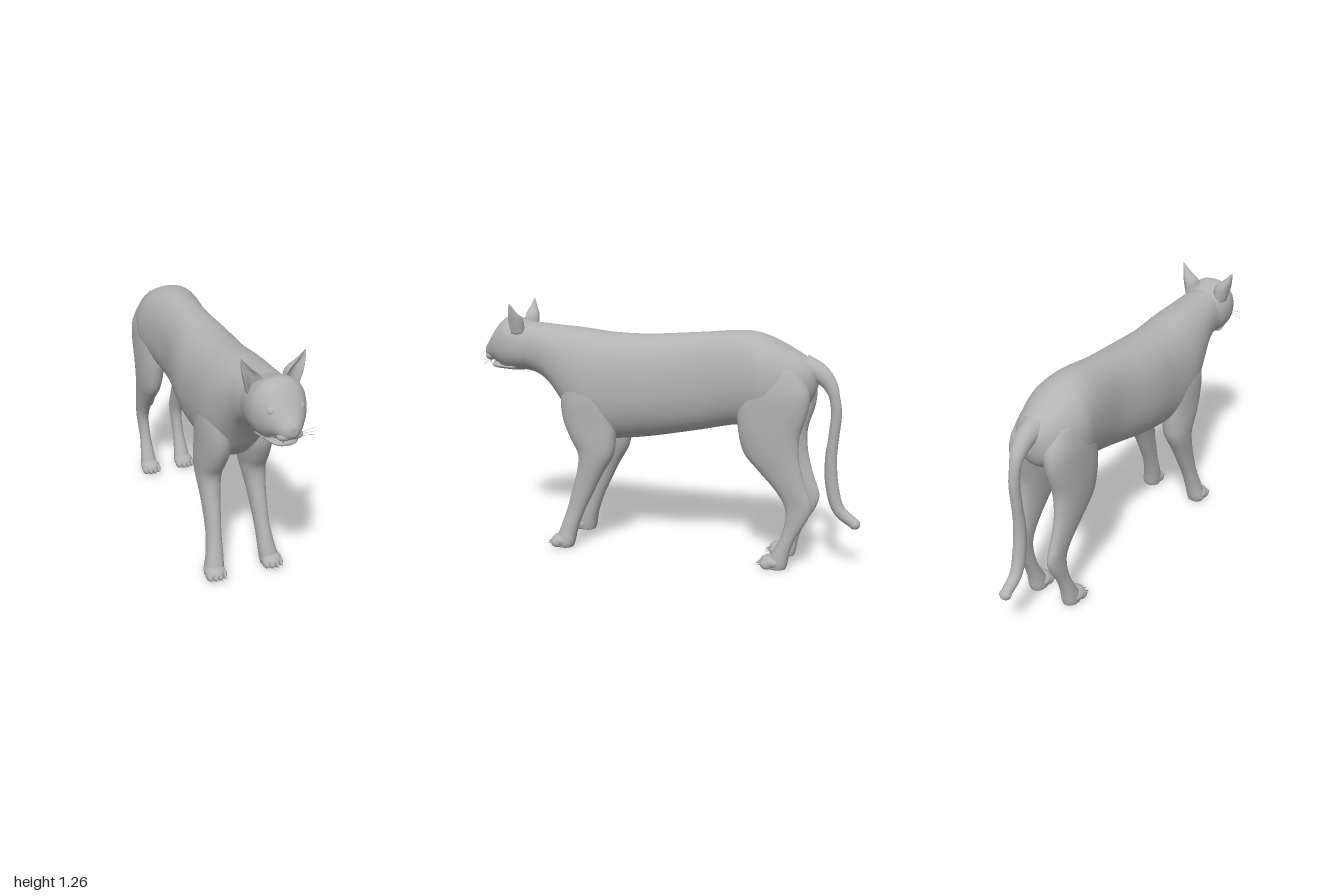
import * as THREE from 'three';

const coat = new THREE.MeshStandardMaterial({ color: 0xb2b2b2 });
coat.name = 'greyCoat';

function add(parent, name, geometry, pos = [0, 0, 0], scale = [1, 1, 1]) {
  const m = new THREE.Mesh(geometry, coat);
  m.name = name;
  m.position.set(...pos);
  m.scale.set(...scale);
  parent.add(m);
  return m;
}

// Smooth skin through sections [t, aMin, aMax, bMin, bMax].
// axis 'z': t = z rising, ring in x/y. axis 'y': t = y falling, ring in x/z.
function loft(sections, axis, { n = 28, steps = 4, power = 2.2, dent = 0 } = {}) {
  const pos = [], idx = [], last = sections.length - 1, rings = last * steps + 1;
  const put = (t, a, b) => (axis === 'z' ? pos.push(a, b, t) : pos.push(a, t, b));
  const at = (i) => sections[Math.min(last, Math.max(0, i))];
  const squash = (v) => Math.sign(v) * Math.abs(v) ** (2 / power);
  const ends = [];
  for (let r = 0; r < rings; r++) {
    const i = Math.min(last - 1, Math.floor(r / steps)), f = r / steps - i;
    const [t, a0, a1, b0, b1] = at(i).map((p1, k) => {
      const p0 = at(i - 1)[k], p2 = at(i + 1)[k], p3 = at(i + 2)[k];
      return p1 + 0.5 * f * (p2 - p0 + f * (2 * p0 - 5 * p1 + 4 * p2 - p3 + f * (3 * (p1 - p2) + p3 - p0)));
    });
    const ca = (a0 + a1) / 2, cb = (b0 + b1) / 2;
    for (let j = 0; j < n; j++) {
      const w = (j / n) * Math.PI * 2;
      const s = squash(Math.sin(w));
      put(t, ca + ((a1 - a0) / 2) * squash(Math.cos(w)), cb + ((b1 - b0) / 2) * (s > 0 ? s * (1 - dent * s) : s));
    }
    if (r === 0 || r === rings - 1) ends.push([t, ca, cb]);
  }
  for (let r = 0; r < rings - 1; r++) {
    for (let j = 0; j < n; j++) {
      const a = r * n + j, b = r * n + ((j + 1) % n);
      idx.push(a, b, a + n, b, b + n, a + n);
    }
  }
  ends.forEach((e) => put(...e));
  for (let j = 0; j < n; j++) {
    const k = (j + 1) % n, o = (rings - 1) * n;
    idx.push(rings * n, k, j, rings * n + 1, o + j, o + k);
  }
  const g = new THREE.BufferGeometry();
  g.setAttribute('position', new THREE.Float32BufferAttribute(pos, 3));
  g.setIndex(idx);
  g.computeVertexNormals();
  return g;
}

// Left-right symmetric sections: [z, halfWidth, bottom, top]
const sym = (rows) => rows.map(([z, w, b, t]) => [z, -w, w, b, t]);
// Move a left-side section to the chosen side
const sided = (rows, s) => rows.map(([y, a, b, c, d]) => (s > 0 ? [y, a, b, c, d] : [y, -b, -a, c, d]));

// Thin tapered rod between two points
function rod(parent, name, from, to, r0, r1, sides = 8) {
  const a = new THREE.Vector3(...from), d = new THREE.Vector3(...to).sub(a);
  const m = add(parent, name, new THREE.CylinderGeometry(r1, r0, d.length(), sides));
  m.position.copy(a).addScaledVector(d, 0.5);
  m.quaternion.setFromUnitVectors(new THREE.Vector3(0, 1, 0), d.normalize());
}

const ball = new THREE.SphereGeometry(1, 24, 16);

const BODY = [
  [-0.768, 0.03, 0.90, 0.99], [-0.74, 0.08, 0.83, 1.025], [-0.68, 0.125, 0.78, 1.065],
  [-0.55, 0.168, 0.72, 1.13], [-0.45, 0.16, 0.70, 1.158], [-0.35, 0.148, 0.69, 1.158],
  [-0.2, 0.14, 0.655, 1.143], [0, 0.168, 0.613, 1.125], [0.1, 0.176, 0.595, 1.118],
  [0.2, 0.174, 0.58, 1.117], [0.3, 0.178, 0.572, 1.12], [0.4, 0.178, 0.59, 1.13],
  [0.48, 0.165, 0.66, 1.137], [0.55, 0.148, 0.76, 1.14], [0.62, 0.13, 0.845, 1.145],
  [0.7, 0.118, 0.892, 1.15], [0.8, 0.11, 0.905, 1.15],
];
const HEAD = [
  [0.68, 0.11, 0.91, 1.135], [0.78, 0.128, 0.90, 1.165], [0.84, 0.128, 0.90, 1.18],
  [0.88, 0.115, 0.908, 1.162], [0.91, 0.1, 0.928, 1.13], [0.94, 0.078, 0.942, 1.09],
  [0.965, 0.058, 0.948, 1.055], [0.985, 0.04, 0.955, 1.03], [0.998, 0.018, 0.975, 1.01],
];
const JAW = [
  [0.8, 0.09, 0.90, 0.94], [0.9, 0.068, 0.902, 0.938], [0.94, 0.05, 0.906, 0.932], [0.96, 0.022, 0.914, 0.928],
];
const EAR = [
  [1.258, 0.146, 0.15, 0.782, 0.788], [1.215, 0.104, 0.147, 0.762, 0.812],
  [1.17, 0.056, 0.138, 0.738, 0.84], [1.1, 0.05, 0.12, 0.735, 0.83],
];
const FRONT_LEG = [
  [0.95, 0.06, 0.16, 0.29, 0.48], [0.8, 0.04, 0.18, 0.24, 0.52], [0.68, 0.03, 0.18, 0.23, 0.515],
  [0.58, 0.04, 0.18, 0.232, 0.472], [0.5, 0.055, 0.176, 0.245, 0.43], [0.4, 0.072, 0.168, 0.302, 0.44],
  [0.3, 0.083, 0.163, 0.352, 0.468], [0.2, 0.092, 0.165, 0.4, 0.495], [0.1, 0.095, 0.18, 0.435, 0.53],
  [0.03, 0.1, 0.197, 0.45, 0.55], [0.004, 0.105, 0.19, 0.46, 0.545],
];
const HIND_LEG = [
  [1.0, 0.04, 0.14, -0.68, -0.46], [0.9, 0.025, 0.165, -0.745, -0.42], [0.8, 0.03, 0.17, -0.745, -0.4],
  [0.68, 0.04, 0.168, -0.71, -0.41], [0.58, 0.055, 0.16, -0.71, -0.44], [0.5, 0.065, 0.15, -0.725, -0.51],
  [0.42, 0.07, 0.14, -0.75, -0.585], [0.34, 0.072, 0.132, -0.778, -0.64], [0.27, 0.072, 0.13, -0.762, -0.652],
  [0.18, 0.07, 0.13, -0.71, -0.635], [0.1, 0.065, 0.138, -0.68, -0.6],
  [0.03, 0.058, 0.145, -0.668, -0.56], [0.004, 0.062, 0.14, -0.66, -0.56],
];

// Rounded paw with four toes and claws
function paw(parent, name, x, z) {
  const g = new THREE.Group();
  g.name = name;
  g.position.set(x, 0, z);
  parent.add(g);
  add(g, 'pad', ball, [0, 0.036, 0], [0.052, 0.035, 0.06]);
  [-0.036, -0.012, 0.012, 0.036].forEach((dx) => {
    const dz = 0.05 - Math.abs(dx) * 0.4;
    add(g, 'toe', ball, [dx, 0.026, dz - 0.012], [0.016, 0.024, 0.03]);
    rod(g, 'claw', [dx, 0.035, dz + 0.006], [dx, 0.018, dz + 0.036], 0.006, 0.001);
  });
}

// Tail that narrows from the rump, then keeps an even thickness
function tailGeometry() {
  const curve = new THREE.CatmullRomCurve3([
    [-0.70, 1.0], [-0.77, 0.975], [-0.83, 0.915], [-0.862, 0.8], [-0.856, 0.68],
    [-0.846, 0.56], [-0.856, 0.42], [-0.895, 0.3], [-0.975, 0.237],
  ].map(([z, y]) => new THREE.Vector3(0, y, z)));
  const steps = 60, sides = 16;
  const g = new THREE.TubeGeometry(curve, steps, 1, sides), p = g.attributes.position, v = new THREE.Vector3();
  for (let i = 0; i <= steps; i++) {
    const u = i / steps, c = curve.getPointAt(u);
    const r = 0.026 + 0.035 * Math.max(0, 1 - u / 0.24) + 0.006 * Math.sin(Math.PI * Math.max(0, u - 0.5) * 2);
    for (let j = 0; j <= sides; j++) {
      const k = i * (sides + 1) + j;
      v.fromBufferAttribute(p, k).sub(c).multiplyScalar(r).add(c);
      p.setXYZ(k, v.x, v.y, v.z);
    }
  }
  return g;
}

export function createModel() {
  const cat = new THREE.Group();
  cat.name = 'cat';
  add(cat, 'body', loft(sym(BODY), 'z', { n: 40 }));
  add(cat, 'tail', tailGeometry());
  add(cat, 'tailTip', ball, [0, 0.237, -0.974], [0.03, 0.026, 0.026]);

  // Head, open mouth and nose
  const head = new THREE.Group();
  head.name = 'head';
  cat.add(head);
  add(head, 'skull', loft(sym(HEAD), 'z', { n: 36 }));
  add(head, 'lowerJaw', loft(sym(JAW), 'z'));
  add(head, 'nose', ball, [0, 1.0, 0.984], [0.02, 0.014, 0.015]);
  for (let i = -2; i <= 2; i++) {
    rod(head, 'upperTooth', [i * 0.009, 0.955, 0.965], [i * 0.009, 0.942, 0.965], 0.005, 0.003);
    rod(head, 'lowerTooth', [i * 0.008, 0.925, 0.945], [i * 0.008, 0.938, 0.945], 0.004, 0.003);
  }

  for (const s of [1, -1]) {
    const side = s > 0 ? 'left' : 'right';
    add(head, side + 'Ear', loft(sided(EAR, s), 'y', { power: 2, dent: 1.2, steps: 6 }));
    add(head, side + 'Eye', ball, [s * 0.065, 1.066, 0.912], [0.024, 0.024, 0.024]);
    const lid = add(head, side + 'Eyelid', new THREE.TorusGeometry(0.024, 0.006, 8, 28), [s * 0.066, 1.066, 0.918]);
    lid.rotation.set(-0.35, s * 0.55, 0);
    add(head, side + 'MuzzlePad', ball, [s * 0.026, 0.966, 0.962], [0.033, 0.021, 0.026]);
    rod(head, side + 'UpperFang', [s * 0.03, 0.955, 0.962], [s * 0.029, 0.925, 0.964], 0.006, 0.001);
    rod(head, side + 'LowerFang', [s * 0.024, 0.922, 0.944], [s * 0.024, 0.946, 0.95], 0.005, 0.001);
    for (let i = -1; i <= 1; i++) {
      rod(head, side + 'Whisker', [s * 0.045, 0.96 + i * 0.006, 0.96], [s * 0.128, 0.955 + i * 0.018, 0.95], 0.001, 0.0006, 5);
    }

    // Legs and paws
    add(cat, side + 'FrontLeg', loft(sided(FRONT_LEG, s), 'y'));
    add(cat, side + 'HindLeg', loft(sided(HIND_LEG, s), 'y'));
    paw(cat, side + 'FrontPaw', s * 0.15, 0.515);
    paw(cat, side + 'HindPaw', s * 0.102, -0.592);
  }
  return cat;
}
